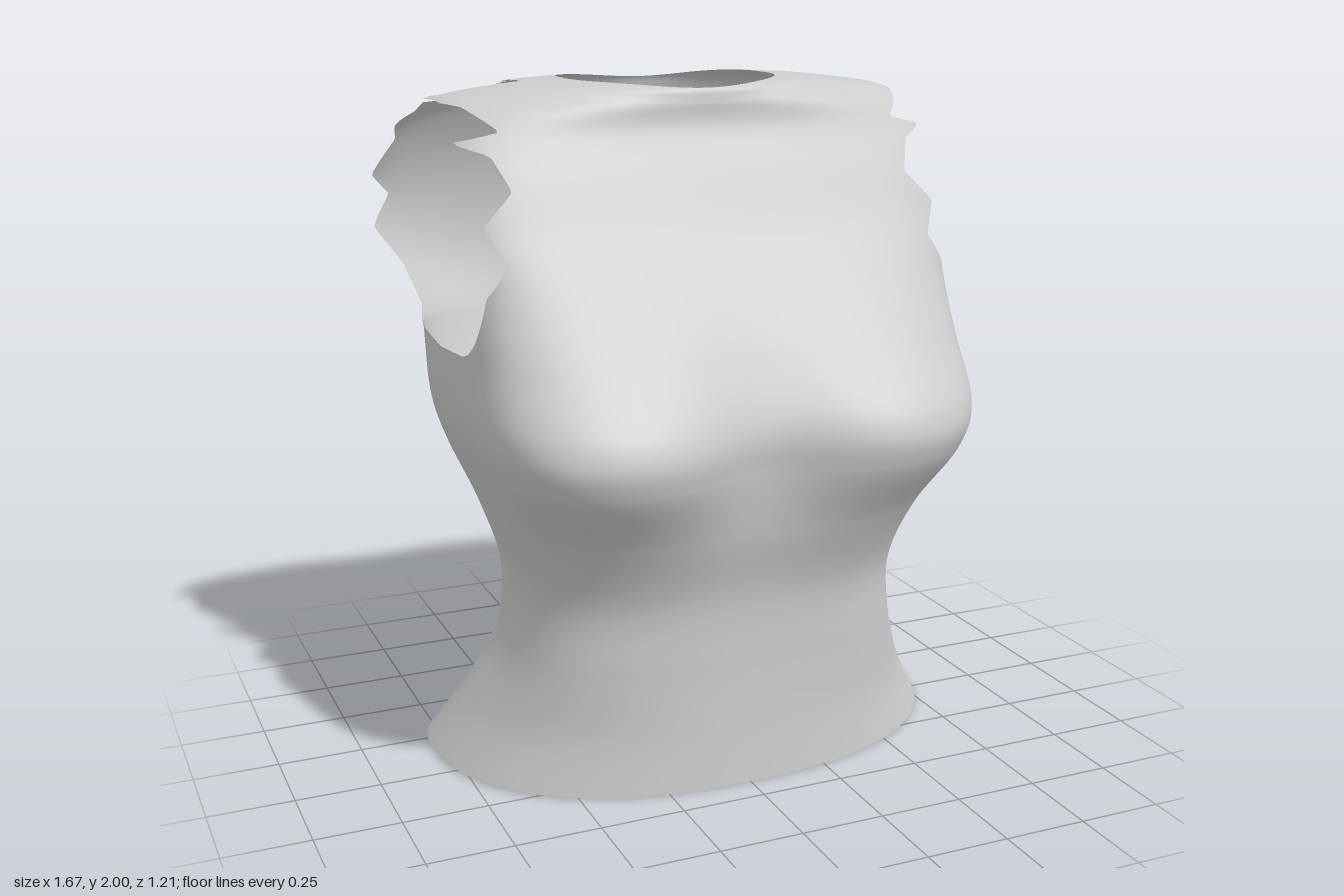
import * as THREE from 'three';

// Cross-sections from hem to neckline:
// y, half width, front z, back z, centre z, front squareness, back squareness, front dip, back dip
const SECTIONS = [
  [0.00, 0.800, 0.410, -0.580, -0.18, 2.3, 2.3, 0.00, 0.00],
  [0.18, 0.695, 0.402, -0.490, -0.11, 2.4, 2.3, 0.00, 0.00],
  [0.38, 0.605, 0.400, -0.422, -0.03, 2.8, 2.5, 0.00, 0.01],
  [0.58, 0.585, 0.422, -0.426, 0.00, 2.8, 2.7, 0.01, 0.03],
  [0.78, 0.640, 0.508, -0.440, -0.02, 3.1, 2.9, 0.04, 0.05],
  [0.97, 0.715, 0.614, -0.485, -0.08, 4.0, 3.1, 0.11, 0.06],
  [1.10, 0.745, 0.610, -0.522, -0.10, 4.3, 3.4, 0.10, 0.06],
  [1.28, 0.740, 0.475, -0.572, -0.12, 4.5, 4.0, 0.04, 0.06],
  [1.45, 0.740, 0.345, -0.604, -0.14, 5.0, 4.5, 0.01, 0.06],
  [1.60, 0.755, 0.240, -0.604, -0.15, 6.0, 4.5, 0.00, 0.06],
  [1.75, 0.755, 0.160, -0.570, -0.17, 6.0, 4.5, 0.00, 0.05],
  [1.87, 0.750, 0.098, -0.513, -0.20, 4.2, 4.5, 0.00, 0.04],
  [1.95, 0.710, 0.090, -0.473, -0.20, 2.2, 3.2, 0.00, 0.03],
  [1.985, 0.520, 0.086, -0.447, -0.20, 2.0, 3.0, 0.00, 0.015],
  [2.00, 0.320, 0.080, -0.425, -0.20, 2.0, 3.5, 0.00, 0.00],
];

// Ragged armhole edges as [y, x]; 9 means no opening
const FRONT_EDGE = [[1.27, 9], [1.275, 0.739], [1.36, 0.722], [1.46, 0.70], [1.55, 0.64], [1.64, 0.69],
  [1.73, 0.60], [1.82, 0.64], [1.85, 0.73], [1.88, 0.60], [1.945, 0.68], [1.955, 9]];
const BACK_EDGE = [[1.27, 9], [1.275, 0.739], [1.32, 0.70], [1.44, 0.74], [1.56, 0.83], [1.65, 0.77],
  [1.72, 0.84], [1.82, 0.76], [1.87, 0.78], [1.90, 0.71], [1.945, 0.68], [1.955, 9]];

const STEPS = 12; // rows per section
const COLS = 96; // columns per half ring
const LAST = SECTIONS.length - 1;

function edgeAt(table, y) {
  for (let i = 1; i < table.length; i++) {
    const [y0, x0] = table[i - 1], [y1, x1] = table[i];
    if (y >= y0 && y <= y1) return x0 + (x1 - x0) * (y - y0) / (y1 - y0);
  }
  return 9;
}

// Smooth interpolation of all section values, u = 0 at the hem to LAST at the neck
function sectionAt(u) {
  const k = Math.min(LAST - 1, Math.floor(u)), f = u - k, f2 = f * f, f3 = f2 * f;
  const [p, q, r, s] = [k - 1, k, k + 1, k + 2].map((i) => SECTIONS[Math.min(LAST, Math.max(0, i))]);
  return q.map((v, i) => {
    const m0 = (r[i] - p[i]) / 2, m1 = (s[i] - v) / 2;
    return (2 * f3 - 3 * f2 + 1) * v + (f3 - 2 * f2 + f) * m0 + (3 * f2 - 2 * f3) * r[i] + (f3 - f2) * m1;
  });
}

// The back spreads wider than the front beside the armholes
function widthAt([y, halfWidth], side) {
  const inside = side < 0 && y > 1.28 && y < 1.955;
  return halfWidth + (inside ? 0.14 * Math.sin(Math.PI * (y - 1.28) / 0.675) ** 1.3 : 0);
}

// Surface point on the front (side 1) or back (side -1), a = 0 at the left flank to PI at the right
function surfacePoint(u, a, side) {
  const section = sectionAt(u);
  const [y, , front, back, centre, nFront, nBack, dipFront, dipBack] = section;
  const n = side > 0 ? nFront : nBack;
  const depth = side > 0 ? front - centre : centre - back;
  const c = Math.cos(a), s = Math.sin(a);
  const r = Math.pow(Math.pow(Math.abs(c), n) + Math.pow(Math.abs(s), n), -1 / n);
  const x = widthAt(section, side) * c * r;
  const dip = side > 0 ? dipFront * Math.exp(-((x / 0.24) ** 2)) : dipBack * Math.exp(-((x / 0.17) ** 2));
  // hem rises slightly at the back, neckline sags at the middle
  const hem = Math.max(0, 1 - y / 0.3) * 0.01 * (1 - side * s * r);
  const sag = Math.max(0, (y - 1.9) / 0.1) * 0.018 * Math.exp(-((x / 0.2) ** 2));
  return new THREE.Vector3(x, y + hem - sag, centre + side * (depth * s * r - dip));
}

function surfaceNormal(u, a, side) {
  const h = 0.01;
  const along = surfacePoint(u, a + h, side).sub(surfacePoint(u, a - h, side));
  const up = surfacePoint(Math.min(LAST, u + h), a, side).sub(surfacePoint(Math.max(0, u - h), a, side));
  return up.cross(along).multiplyScalar(side).normalize();
}

// Angle at which the armhole cuts a half ring
function cutAngle(u, side) {
  const section = sectionAt(u);
  const n = side > 0 ? section[5] : section[6];
  const e = Math.min(1, edgeAt(side > 0 ? FRONT_EDGE : BACK_EDGE, section[0]) / widthAt(section, side));
  return Math.atan2(Math.pow(1 - Math.pow(e, n), 1 / n), e);
}

function panelGeometry(side) {
  const rows = LAST * STEPS;
  const points = [], normals = [], index = [];
  for (let i = 0; i <= rows; i++) {
    const u = i / STEPS, cut = cutAngle(u, side);
    for (let j = 0; j <= COLS; j++) {
      const a = Math.min(Math.PI - cut, Math.max(cut, Math.PI * j / COLS));
      points.push(surfacePoint(u, a, side));
      normals.push(surfaceNormal(u, a, side));
    }
  }
  // torn patch on the right shoulder
  const torn = (corners) => {
    const m = new THREE.Vector3();
    corners.forEach((v) => m.addScaledVector(points[v], 1 / corners.length));
    return m.x < -0.45 && m.x > -0.69 && m.y > 1.93 && m.z > -0.475 && m.z < -0.24;
  };
  for (let i = 0; i < rows; i++) {
    for (let j = 0; j < COLS; j++) {
      const a = i * (COLS + 1) + j, b = a + 1, c = a + COLS + 1, d = c + 1;
      if (torn([a, b, c, d])) continue;
      if (side > 0) index.push(a, c, b, b, c, d);
      else index.push(a, b, c, b, d, c);
    }
  }
  const geometry = new THREE.BufferGeometry().setFromPoints(points);
  geometry.setAttribute('normal', new THREE.Float32BufferAttribute(normals.flatMap((v) => v.toArray()), 3));
  geometry.setIndex(index);
  return geometry;
}

export function createModel() {
  const group = new THREE.Group();
  group.name = 'sleevelessTop';
  const fabric = new THREE.MeshStandardMaterial({ color: 0xcccccc, side: THREE.DoubleSide });
  fabric.name = 'light grey fabric';
  for (const [name, side] of [['frontPanel', 1], ['backPanel', -1]]) {
    const panel = new THREE.Mesh(panelGeometry(side), fabric);
    panel.name = name;
    group.add(panel);
  }
  return group;
}
